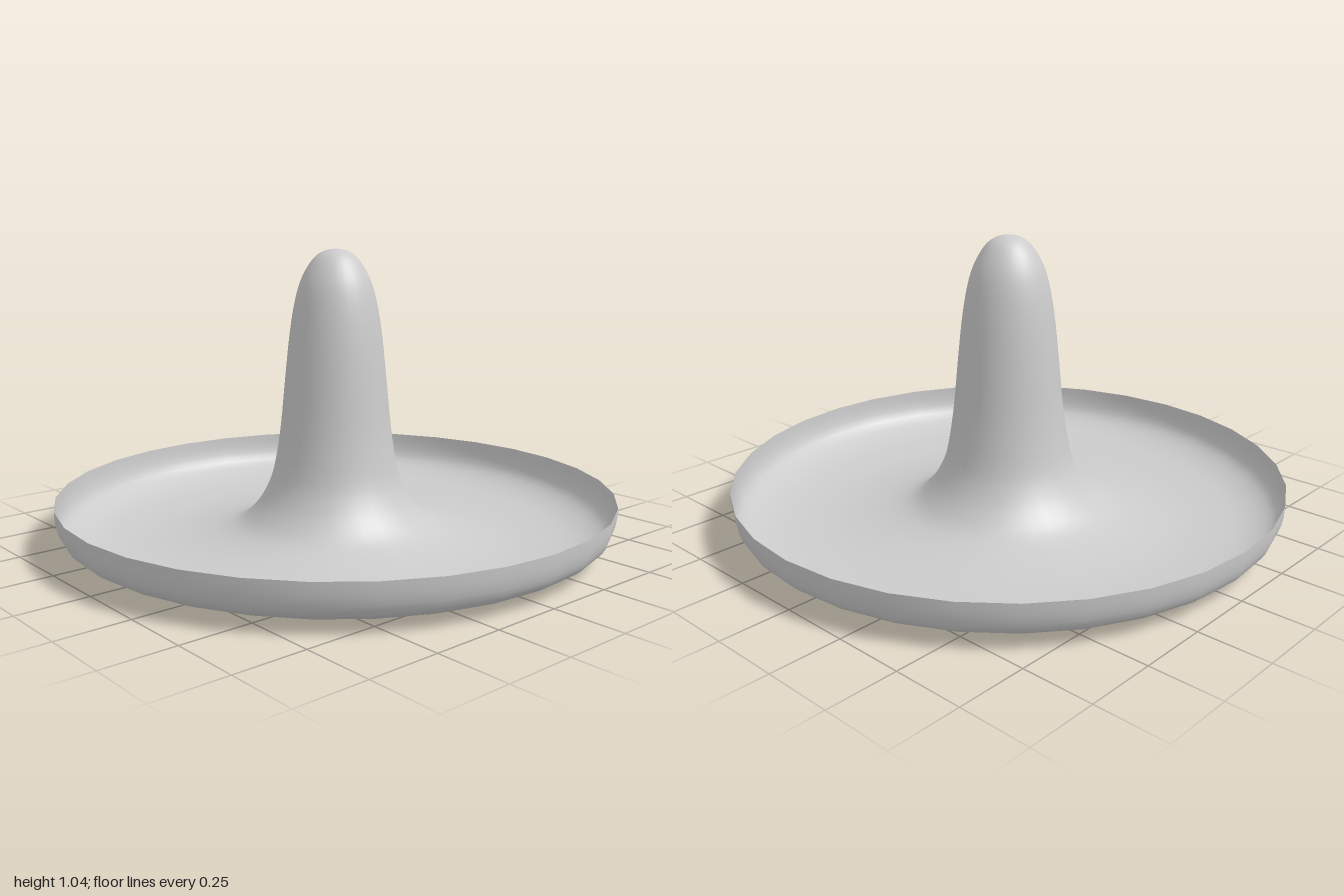
import * as THREE from 'three';

export function createModel() {
  const model = new THREE.Group();
  const material = new THREE.MeshStandardMaterial({ color: 0xcccccc, side: THREE.DoubleSide });

  // Half section of the thin shell: upturned rim, shallow dish, flared foot, hollow rounded spike
  const section = [
    [1, 0.17], [0.995, 0.115], [0.975, 0.065], [0.92, 0.03], [0.83, 0.008], [0.67, 0],
    [0.54, 0.01], [0.43, 0.03], [0.35, 0.06], [0.295, 0.11], [0.255, 0.17], [0.225, 0.25],
    [0.2, 0.4], [0.182, 0.58], [0.165, 0.74], [0.145, 0.86], [0.12, 0.94], [0.08, 1.005],
    [0.04, 1.033], [0, 1.04],
  ].map(([r, y]) => new THREE.Vector2(r, y));
  const profile = new THREE.SplineCurve(section).getPoints(57);
  profile.forEach((p) => p.set(Math.max(p.x, 0), Math.max(p.y, 0)));

  const shell = new THREE.Mesh(new THREE.LatheGeometry(profile, 32), material);
  shell.name = 'dishWithSpike';
  model.add(shell);
  return model;
}
